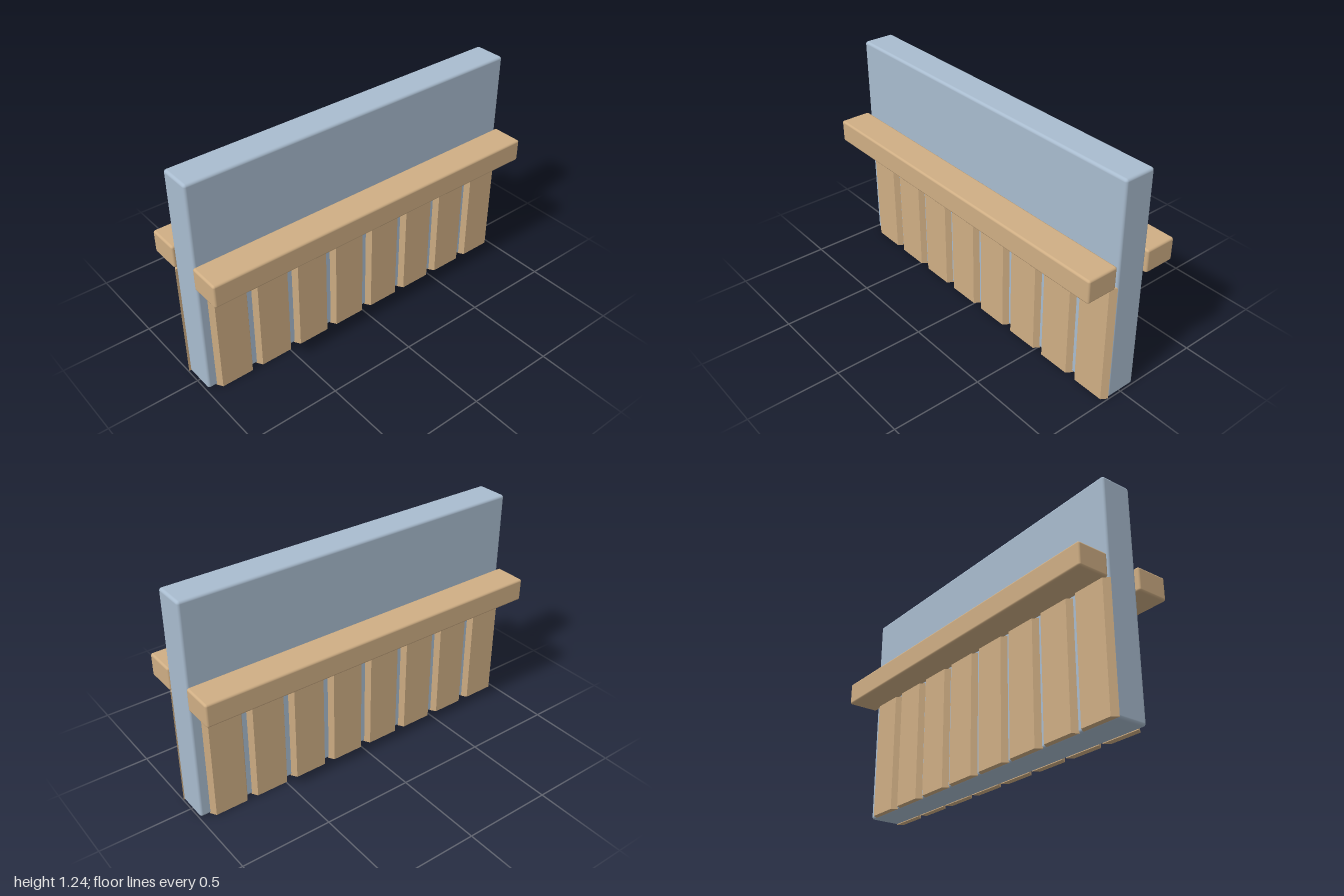
import * as THREE from 'three';
import { RoundedBoxGeometry } from 'three/addons/geometries/RoundedBoxGeometry.js';

const SLATS = 8, PITCH = 0.245, SLAT_HEIGHT = 0.672;

// Vertical board with bevelled long edges; its back lies on x = 0.085
function slatGeometry() {
  const section = new THREE.Shape([
    new THREE.Vector2(0.085, -0.111),
    new THREE.Vector2(0.118, -0.09),
    new THREE.Vector2(0.118, 0.09),
    new THREE.Vector2(0.085, 0.111),
  ]);
  const geometry = new THREE.ExtrudeGeometry(section, { depth: SLAT_HEIGHT, bevelEnabled: false });
  return geometry.rotateX(-Math.PI / 2);
}

export function createModel() {
  const model = new THREE.Group();
  model.name = 'pannelledWall';
  const plaster = new THREE.MeshStandardMaterial({ color: 0xa9bccf });
  const wood = new THREE.MeshStandardMaterial({ color: 0xcfae84 });

  const add = (parent, name, geometry, material, x, y, z) => {
    const mesh = new THREE.Mesh(geometry, material);
    mesh.name = name;
    mesh.position.set(x, y, z);
    parent.add(mesh);
  };

  // Core wall
  add(model, 'wall', new RoundedBoxGeometry(0.177, 1.235, 1.982, 3, 0.015), plaster, -0.001, 0.6175, -0.003);

  // Each side: a ledge over a row of slats; the far side is turned half round
  const ledge = new RoundedBoxGeometry(0.177, 0.127, 1.994, 3, 0.012);
  const slat = slatGeometry();
  for (const [name, turn] of [['leftSide', 0], ['rightSide', Math.PI]]) {
    const side = new THREE.Group();
    side.name = name;
    side.rotation.y = turn;
    side.position.x = -0.001;
    add(side, 'ledge', ledge, wood, 0.185, 0.7325, 0.003);
    for (let i = 0; i < SLATS; i++) {
      add(side, 'slat', slat, wood, 0, 0, 0.829 - i * PITCH);
    }
    model.add(side);
  }
  return model;
}
